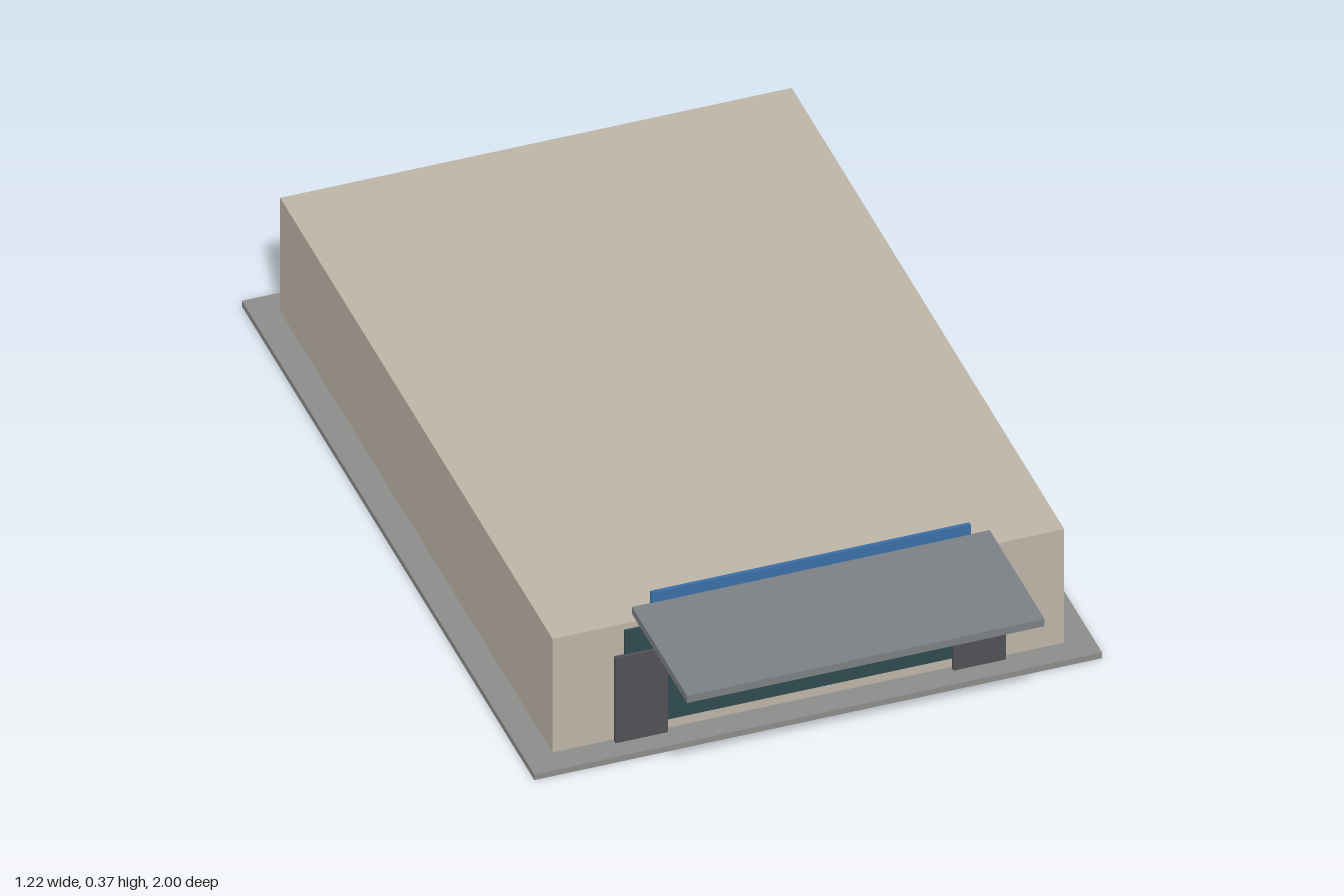
import * as THREE from 'three';

// Box given by its extents along each axis
function block(name, color, [x0, x1], [y0, y1], [z0, z1]) {
  const mesh = new THREE.Mesh(
    new THREE.BoxGeometry(x1 - x0, y1 - y0, z1 - z0),
    new THREE.MeshStandardMaterial({ color })
  );
  mesh.position.set((x0 + x1) / 2, (y0 + y1) / 2, (z0 + z1) / 2);
  mesh.name = name;
  return mesh;
}

export function createModel() {
  const group = new THREE.Group();
  group.name = 'building';

  // Ground slab and main hall
  group.add(block('baseSlab', 0x8c8c8a, [-0.608, 0.608], [0, 0.014], [-1, 0.72]));
  group.add(block('hall', 0xbdb4a6, [-0.548, 0.548], [0.014, 0.297], [-0.94, 0.662]));

  // Glazed entrance front
  group.add(block('entranceGlass', 0x2f4a50, [-0.395, 0.395], [0.04, 0.282], [0.662, 0.669]));

  // Panels flanking the entrance
  for (const side of [-1, 1]) {
    const name = side > 0 ? 'leftEntrancePanel' : 'rightEntrancePanel';
    const xs = [side * 0.306, side * 0.418].sort((a, b) => a - b);
    group.add(block(name, 0x505056, xs, [0.014, 0.225], [0.667, 0.676]));
  }

  // Sign board and the canopy in front of it
  group.add(block('signBoard', 0x3a6ea5, [-0.342, 0.342], [0.303, 0.371], [0.67, 0.678]));
  group.add(block('canopy', 0x7c8084, [-0.383, 0.383], [0.328, 0.346], [0.677, 1]));

  return group;
}
